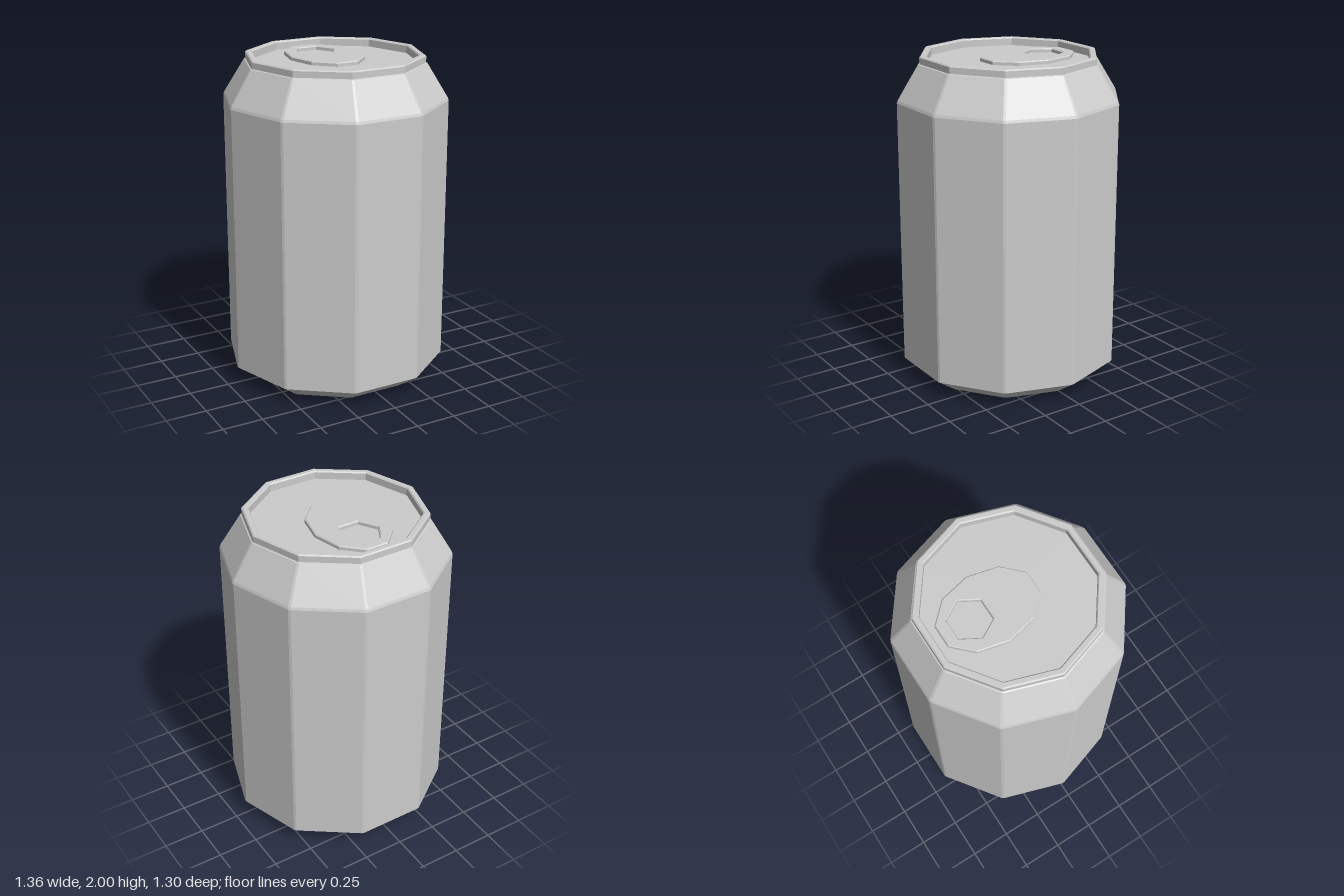
import * as THREE from 'three';

const SIDES = 10;
const STEP = (Math.PI * 2) / SIDES;
const metal = new THREE.MeshStandardMaterial({ color: 0xcccccc, flatShading: true });

// Ten-sided turned part with narrow chamfers along its upright edges.
function turned(name, profile, chamfer) {
  const points = profile.map(([r, y]) => new THREE.Vector2(r, y));
  const geo = new THREE.LatheGeometry(points, SIDES * 2, STEP / 4);
  const pos = geo.attributes.position;
  for (let i = 0; i < pos.count; i++) {
    const x = pos.getX(i), z = pos.getZ(i);
    const r = Math.hypot(x, z), a = Math.atan2(z, x);
    // Pull each vertex close to the nearest corner, leaving the chamfer between pairs
    const corner = Math.round(a / STEP) * STEP;
    const b = corner + Math.sign(a - corner) * chamfer;
    pos.setXYZ(i, r * Math.cos(b), pos.getY(i), r * Math.sin(b));
  }
  geo.computeVertexNormals();
  return named(name, geo);
}

function named(name, geo) {
  const mesh = new THREE.Mesh(geo, metal);
  mesh.name = name;
  return mesh;
}

// Corner points of a polygon inscribed in an ellipse.
function polygon(n, cx, cy, rx, ry) {
  return Array.from({ length: n }, (_, i) => {
    const a = (i / n) * Math.PI * 2;
    return new THREE.Vector2(cx + rx * Math.cos(a), cy + ry * Math.sin(a));
  });
}

export function createModel() {
  const group = new THREE.Group();
  group.name = 'drinkCan';

  // Base, straight wall and tapered shoulder
  group.add(turned('body', [
    [0, 0], [0.54, 0], [0.68, 0.1], [0.68, 1.732],
    [0.674, 1.748], [0.548, 1.952], [0.53, 1.96],
  ], 0.012));

  // Raised rim around the lid
  group.add(turned('rim', [
    [0.53, 1.945], [0.541, 1.955], [0.541, 1.993], [0.533, 2],
    [0.506, 2], [0.499, 1.993], [0.499, 1.945],
  ], 0.004));

  // Sunken lid
  group.add(turned('lid', [[0.52, 1.95], [0, 1.95]], 0.004));

  // Pull tab with a finger hole, lying on the lid towards the back
  const outline = new THREE.Shape(polygon(10, 0, 0.135, 0.222, 0.31));
  outline.holes.push(new THREE.Path(polygon(6, 0, 0.25, 0.127, 0.127)));
  const bevel = 0.006;
  const tabGeo = new THREE.ExtrudeGeometry(outline, {
    depth: 0.02, bevelEnabled: true, bevelSegments: 1,
    bevelSize: bevel, bevelThickness: bevel, bevelOffset: -bevel,
  });
  tabGeo.rotateX(-Math.PI / 2);
  const tab = named('pullTab', tabGeo);
  tab.position.y = 1.948;
  group.add(tab);

  return group;
}
